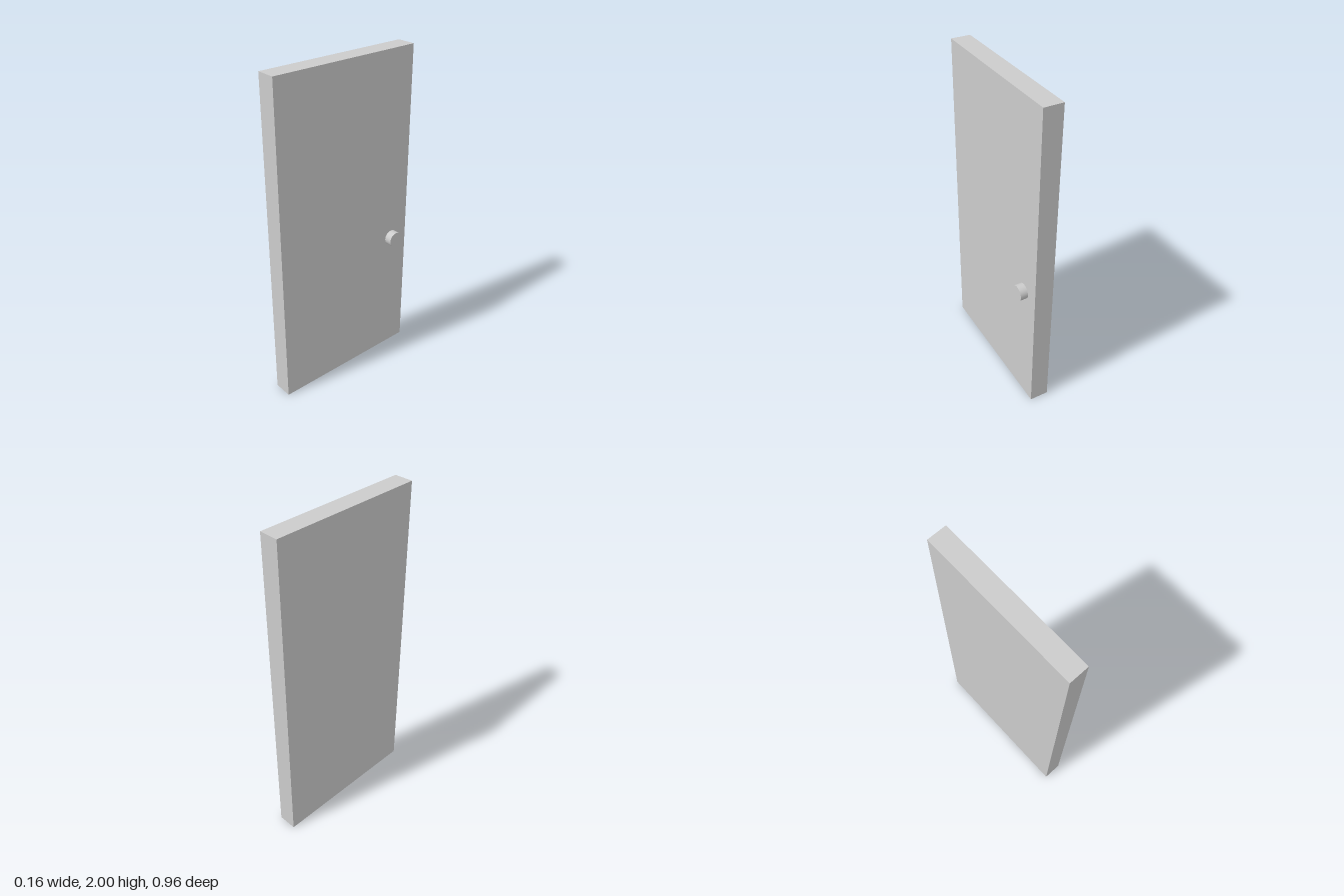
import * as THREE from 'three';

export function createModel() {
  const group = new THREE.Group();
  group.name = 'door';
  const material = new THREE.MeshStandardMaterial({ color: 0xcccccc });

  const back = -0.081, face = 0.035;
  const height = 2, width = 0.958;

  // Flat door panel, standing on the floor with its broad face towards +x
  const panel = new THREE.Mesh(new THREE.BoxGeometry(face - back, height, width), material);
  panel.name = 'doorPanel';
  panel.position.set((back + face) / 2, height / 2, 0);
  group.add(panel);

  // Round knob on the +x face only
  const knobEnd = 0.081;
  const knob = new THREE.Mesh(new THREE.CylinderGeometry(0.047, 0.047, knobEnd - face, 32), material);
  knob.name = 'knob';
  knob.rotation.z = -Math.PI / 2;
  knob.position.set((face + knobEnd) / 2, 0.808, -0.356);
  group.add(knob);

  return group;
}
